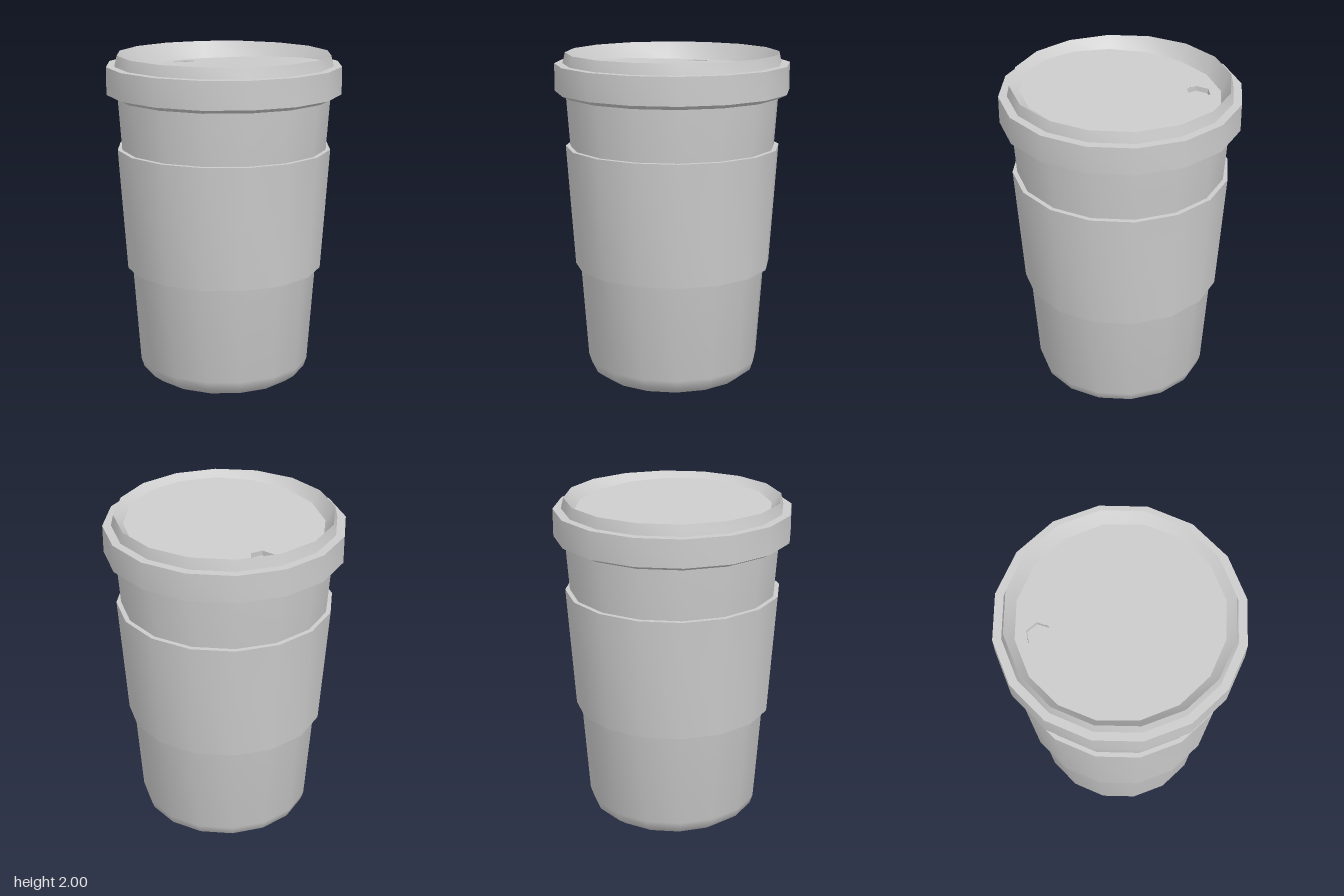
import * as THREE from 'three';
import { toCreasedNormals } from 'three/addons/utils/BufferGeometryUtils.js';

const SIDES = 16;
const FLOOR_Y = 1.93; // height of the lid panel at its middle
const TILT = 0.064; // the lid panel drops towards the back, where the sip hole is
const HOLE = { x: 0.005, z: -0.455, r: 0.073, depth: 0.03 };

const material = new THREE.MeshStandardMaterial({ color: 0xcccccc });

function addMesh(parent, name, geometry) {
  const mesh = new THREE.Mesh(geometry, material);
  mesh.name = name;
  parent.add(mesh);
  return mesh;
}

// Profile of [radius, y] pairs spun round the y axis
function spin(profile, sides = SIDES, start = 0) {
  const points = profile.map(([r, y]) => new THREE.Vector2(r, y));
  return new THREE.LatheGeometry(points, sides, start);
}

const crease = (geometry) => toCreasedNormals(geometry, 0.7);

// Shear the vertices that pass the test so they follow the sloping lid panel
function tilt(geometry, test = () => true) {
  const p = geometry.attributes.position;
  for (let i = 0; i < p.count; i++) {
    if (test(p.getX(i), p.getY(i), p.getZ(i))) p.setY(i, p.getY(i) + TILT * p.getZ(i));
  }
  geometry.computeVertexNormals();
  return geometry;
}

function polygon(sides, radius, cx = 0, cy = 0) {
  return Array.from({ length: sides }, (_, i) => {
    const a = (i / sides) * Math.PI * 2;
    return new THREE.Vector2(cx + radius * Math.cos(a), cy + radius * Math.sin(a));
  });
}

export function createModel() {
  const model = new THREE.Group();
  model.name = 'lidded cup';

  // Tapered cup with a rounded foot
  addMesh(model, 'cupBody', crease(spin([
    [0, 0], [0.45, 0], [0.51, 0.045], [0.528, 0.1], [0.645, 1.76],
  ])));

  // Sleeve band around the middle
  addMesh(model, 'sleeve', crease(spin([
    [0.565, 0.695], [0.6, 0.695], [0.65, 1.435], [0.615, 1.435],
  ])));

  const lid = new THREE.Group();
  lid.name = 'lid';
  model.add(lid);

  // Wide lid skirt and the raised collar above it
  addMesh(lid, 'lidRim', crease(spin([
    [0.635, 1.745], [0.66, 1.745], [0.71, 1.77], [0.71, 1.935], [0.66, 1.935], [0.645, 2],
  ])));

  // Inner slope from the collar down to the panel
  const slope = spin([[0.645, 2], [0.59, FLOOR_Y]]);
  addMesh(lid, 'lidInnerSlope', crease(tilt(slope, (x, y) => y < 1.99)));

  // Sloping panel with a six-sided opening
  const outline = new THREE.Shape(polygon(SIDES, 0.59));
  outline.holes.push(new THREE.Path(polygon(6, HOLE.r, HOLE.x, -HOLE.z)));
  const panel = new THREE.ShapeGeometry(outline);
  panel.rotateX(-Math.PI / 2).translate(0, FLOOR_Y, 0);
  addMesh(lid, 'lidPanel', tilt(panel));

  // Shallow well under the opening, square to the panel
  const well = spin([[HOLE.r, 0], [HOLE.r, -HOLE.depth], [0, -HOLE.depth]], 6, Math.PI / 2);
  const sipHole = addMesh(lid, 'sipHole', crease(well));
  sipHole.rotation.x = -Math.atan(TILT);
  sipHole.position.set(HOLE.x, FLOOR_Y + TILT * HOLE.z, HOLE.z);

  return model;
}
